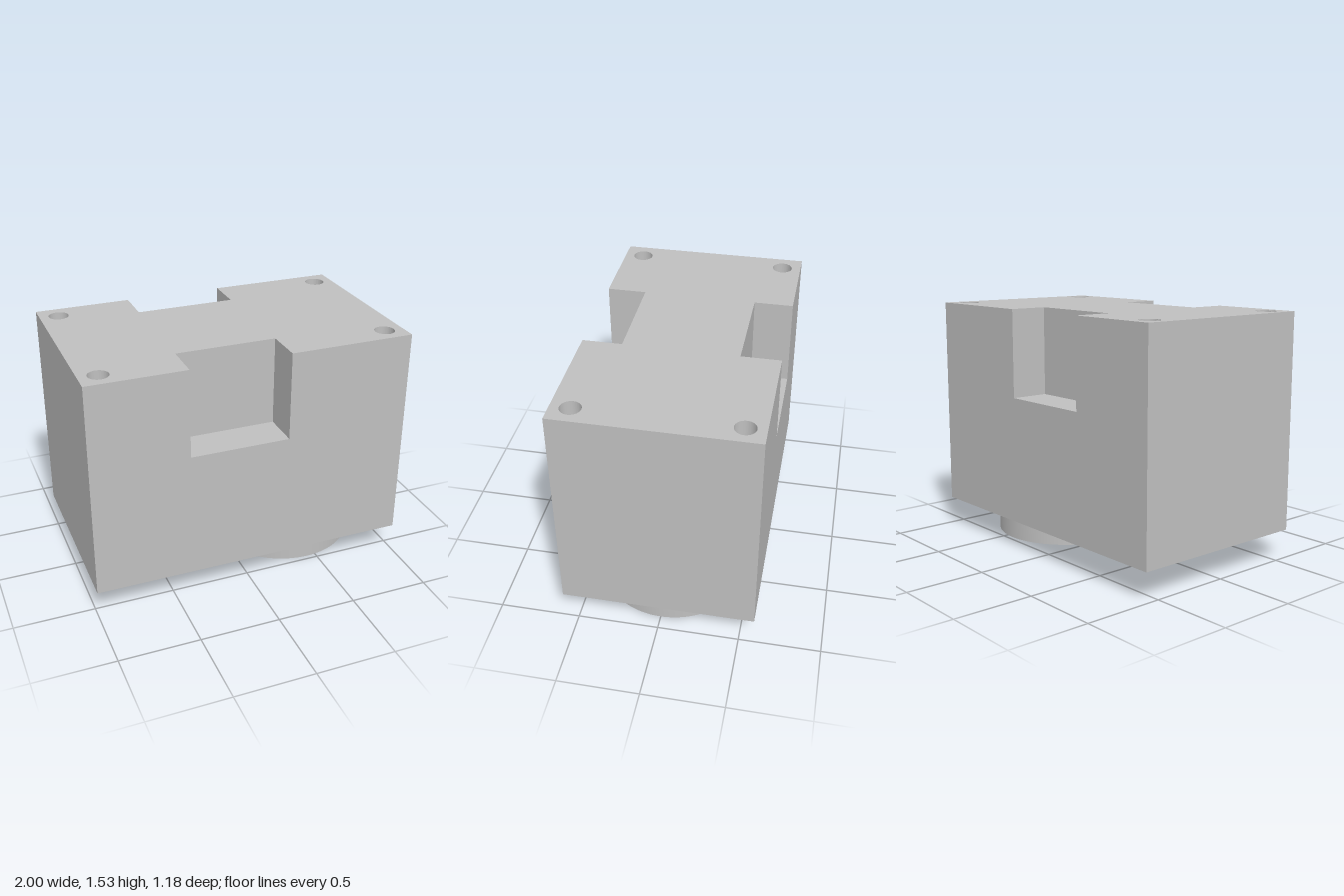
import * as THREE from 'three';
import { toCreasedNormals } from 'three/addons/utils/BufferGeometryUtils.js';

const HALF_X = 1, HALF_Z = 0.59;
const Y_BASE = 0.18, Y_NOTCH = 0.98, Y_TOP = 1.53;
const NOTCH = { x0: -0.4, x1: 0.22, z: 0.35 };

// Outline polygon from [x, z] points
const outline = (pts) => new THREE.Shape(pts.map(([x, z]) => new THREE.Vector2(x, z)));

function addHole(shape, x, z, r) {
  const hole = new THREE.Path();
  hole.absarc(x, z, r, 0, Math.PI * 2, true);
  shape.holes.push(hole);
}

// Upright prism between two heights, leaving out the caps at the heights in openAt
function prism(shape, y0, y1, openAt, curveSegments = 32) {
  let geo = new THREE.ExtrudeGeometry(shape, { depth: y1 - y0, bevelEnabled: false, curveSegments });
  geo.rotateX(-Math.PI / 2).translate(0, y0, 0);
  const src = geo.attributes.position.array;
  const kept = [];
  for (let i = 0; i < src.length; i += 9) {
    const ys = [src[i + 1], src[i + 4], src[i + 7]];
    if (!ys.every((y) => Math.abs(y - openAt) < 1e-4)) kept.push(...src.slice(i, i + 9));
  }
  geo = new THREE.BufferGeometry();
  geo.setAttribute('position', new THREE.Float32BufferAttribute(kept, 3));
  geo.computeVertexNormals();
  return toCreasedNormals(geo, 0.6);
}

export function createModel() {
  const group = new THREE.Group();
  group.name = 'notchedBlock';
  const grey = new THREE.MeshStandardMaterial({ color: 0xbfbfbf });
  grey.name = 'plain grey';

  const add = (name, geometry) => {
    const mesh = new THREE.Mesh(geometry, grey);
    mesh.name = name;
    group.add(mesh);
    return mesh;
  };

  // Block: plain lower body, upper body with a notch in front and back
  const lower = outline([[-HALF_X, -HALF_Z], [HALF_X, -HALF_Z], [HALF_X, HALF_Z], [-HALF_X, HALF_Z]]);
  const { x0, x1, z } = NOTCH;
  const upper = outline([
    [-HALF_X, -HALF_Z], [x0, -HALF_Z], [x0, -z], [x1, -z], [x1, -HALF_Z], [HALF_X, -HALF_Z],
    [HALF_X, HALF_Z], [x1, HALF_Z], [x1, z], [x0, z], [x0, HALF_Z], [-HALF_X, HALF_Z],
  ]);

  // Corner bores run through the full height of the block
  for (const sx of [-1, 1]) {
    for (const sz of [-1, 1]) {
      for (const shape of [lower, upper]) addHole(shape, sx * 0.882, sz * 0.472, 0.062);
    }
  }
  add('lowerBody', prism(lower, Y_BASE, Y_NOTCH, Y_NOTCH));
  add('upperBody', prism(upper, Y_NOTCH, Y_TOP, Y_NOTCH));

  // Notch floors
  for (const side of [-1, 1]) {
    const floor = add(side > 0 ? 'frontNotchFloor' : 'backNotchFloor',
      new THREE.PlaneGeometry(x1 - x0, HALF_Z - z).rotateX(-Math.PI / 2));
    floor.position.set((x0 + x1) / 2, Y_NOTCH, side * (HALF_Z + z) / 2);
  }

  // Round flange below, with four screw holes on a circle
  const disc = new THREE.Shape();
  disc.absarc(0, 0, 0.47, 0, Math.PI * 2, false);
  for (let i = 0; i < 4; i++) {
    const a = (i * Math.PI) / 2;
    addHole(disc, 0.355 * Math.cos(a), 0.355 * Math.sin(a), 0.047);
  }
  add('flange', prism(disc, 0, Y_BASE, Y_BASE, 64)).position.x = 0.44;

  return group;
}
